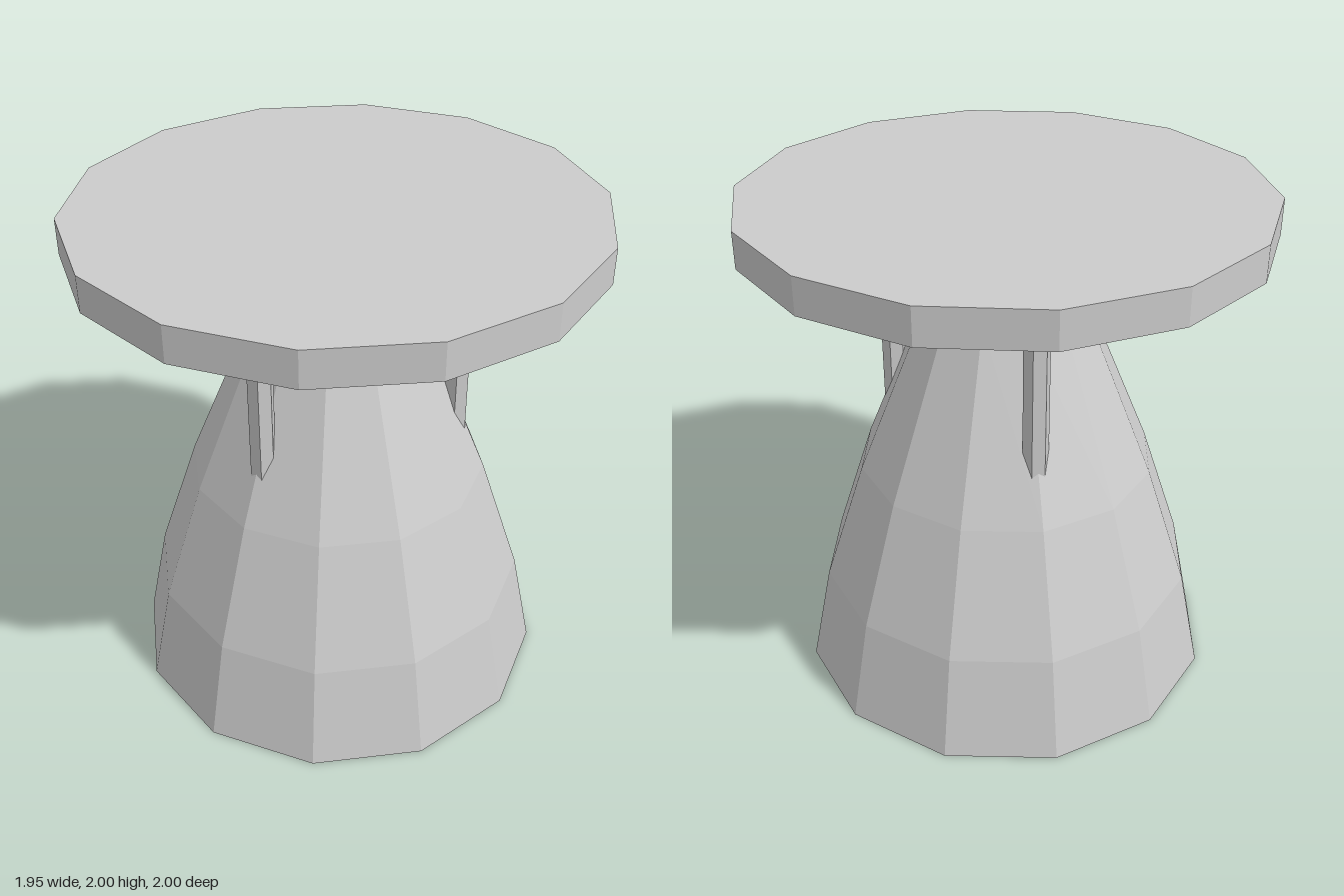
import * as THREE from 'three';

export function createModel() {
  const model = new THREE.Group();
  const grey = new THREE.MeshStandardMaterial({ color: 0xcccccc, flatShading: true, side: THREE.DoubleSide });
  grey.name = 'plain grey metal';

  const add = (name, geometry, x = 0, y = 0, z = 0) => {
    const mesh = new THREE.Mesh(geometry, grey);
    mesh.name = name;
    mesh.position.set(x, y, z);
    model.add(mesh);
    return mesh;
  };
  const lathe = (points) =>
    new THREE.LatheGeometry(points.map(([r, y]) => new THREE.Vector2(r, y)), 12);

  // Open twelve-sided nozzle bell
  add('nozzleBell', lathe([[0.84, 0], [0.755, 0.41], [0.59, 0.9], [0.3, 1.6]]));

  // Flared throat, flange ring and collar below the plate
  add('neck', lathe([
    [0, 1.6], [0.3, 1.6], [0.36, 1.67], [0.42, 1.67],
    [0.42, 1.775], [0.38, 1.775], [0.38, 1.86],
  ]));

  // Fourteen-sided mounting plate
  add('mountingPlate', new THREE.CylinderGeometry(1, 1, 0.14, 14), 0, 1.93, 0);

  // Control box on the left side
  add('controlBox', new THREE.BoxGeometry(0.295, 0.29, 0.25), 0.4375, 1.6, 0);

  // Three hexagonal struts spaced evenly, sunk into the bell
  for (let i = 0; i < 3; i++) {
    const a = (i * Math.PI * 2) / 3;
    add('strut' + (i + 1), new THREE.CylinderGeometry(0.05, 0.05, 0.57, 6),
      0.463 * Math.cos(a), 1.355, 0.463 * Math.sin(a));
  }

  return model;
}
